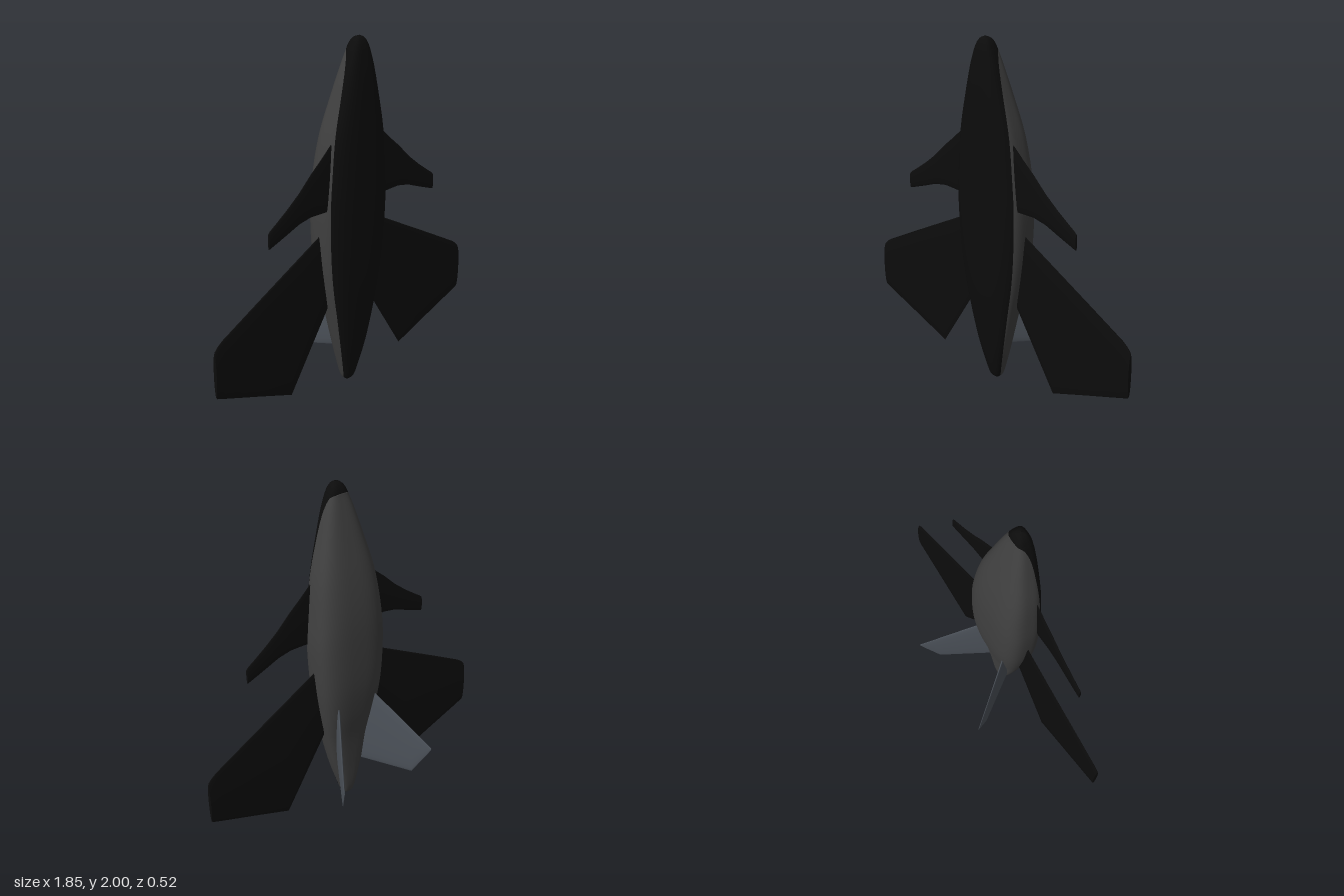
import * as THREE from 'three';

const mat = (color) => new THREE.MeshStandardMaterial({ color, side: THREE.DoubleSide });
const black = mat(0x0c0c0c), hullGrey = mat(0x404040), finGrey = mat(0x4e545c);

// Skin a list of rings, each with the same number of points
function loft(rings) {
  const m = rings[0].length, index = [];
  for (let i = 0; i < rings.length - 1; i++)
    for (let j = 0; j < m - 1; j++) {
      const a = i * m + j, b = a + 1, c = a + m, d = c + 1;
      index.push(a, c, b, b, c, d);
    }
  const g = new THREE.BufferGeometry().setFromPoints(rings.flat());
  g.setIndex(index);
  g.computeVertexNormals();
  return g;
}

function part(name, geometry, material) {
  const mesh = new THREE.Mesh(geometry, material);
  mesh.name = name;
  return mesh;
}

// Hull stations: y, half width, belly z, spine z, colour seam z
const HULL = [
  [0, 0.004, 0.135, 0.127, 0.13], [0.008, 0.02, 0.15, 0.113, 0.133], [0.03, 0.036, 0.165, 0.099, 0.14],
  [0.1, 0.058, 0.182, 0.088, 0.155], [0.25, 0.1, 0.208, 0.077, 0.177], [0.45, 0.145, 0.23, 0.056, 0.192],
  [0.65, 0.184, 0.246, 0.022, 0.199], [0.85, 0.209, 0.255, 0.002, 0.205], [1.1, 0.219, 0.26, 0.001, 0.21],
  [1.3, 0.205, 0.261, 0.013, 0.211], [1.5, 0.178, 0.26, 0.043, 0.209], [1.7, 0.128, 0.256, 0.088, 0.204],
  [1.84, 0.09, 0.249, 0.123, 0.194], [1.92, 0.064, 0.241, 0.144, 0.174], [1.945, 0.054, 0.237, 0.15, 0.15],
  [1.97, 0.042, 0.23, 0.159, 0.14], [1.99, 0.025, 0.219, 0.174, 0.14], [2, 0.004, 0.203, 0.196, 0.14],
];
const curve = (cols) => new THREE.CatmullRomCurve3(
  HULL.map((s) => new THREE.Vector3(...cols.map((c) => s[c]))), false, 'catmullrom', 0.5);

// Rounded-box sections, split at the seam into belly and back
function hull(isBelly) {
  const outline = curve([0, 1, 4]), depth = curve([0, 2, 3]);
  const N = 102, M = 48, POWER = 3, rings = [];
  const soft = (v) => Math.sign(v) * Math.abs(v) ** (2 / POWER);
  for (let i = 0; i <= N; i++) {
    const { x: y, y: w, z: seam } = outline.getPoint(i / N);
    const { y: zf, z: zb } = depth.getPoint(i / N);
    const zc = (zf + zb) / 2, h = (zf - zb) / 2;
    const s = THREE.MathUtils.clamp((seam - zc) / h, -1, 1);
    const t0 = Math.asin(Math.sign(s) * Math.abs(s) ** (POWER / 2));
    const from = isBelly ? t0 : Math.PI - t0;
    const to = isBelly ? Math.PI - t0 : 2 * Math.PI + t0;
    rings.push(Array.from({ length: M + 1 }, (_, j) => {
      const t = from + (to - from) * j / M;
      return new THREE.Vector3(w * soft(Math.cos(t)), y, zc + h * soft(Math.sin(t)));
    }));
  }
  return loft(rings);
}

// Lens-section surface; stations: span, leading y, trailing y, half thickness
function surface(stations, origin, dir) {
  const up = new THREE.Vector3(0, 1, 0), n = dir.clone().cross(up), M = 24;
  const tip = stations.at(-1);
  const all = [...stations, tip, [tip[0], tip[1], tip[2], 0]];
  return loft(all.map(([s, le, te, h]) => Array.from({ length: M + 1 }, (_, j) => {
    const t = 2 * Math.PI * j / M;
    return origin.clone().addScaledVector(dir, s)
      .addScaledVector(up, (le + te) / 2 - Math.cos(t) * (le - te) / 2)
      .addScaledVector(n, h * Math.sin(t));
  })));
}

function flyingSurfaces() {
  const g = new THREE.Group(), out = new THREE.Vector3(1, 0, 0);
  // Main wing
  g.add(part('wing', surface([
    [0.05, 1.04, 0.67, 0.012], [0.22, 0.945, 0.395, 0.012], [0.42, 0.835, 0.07, 0.012],
    [0.65, 0.708, 0.16, 0.012], [0.87, 0.585, 0.244, 0.012], [0.9, 0.562, 0.256, 0.012],
    [0.918, 0.542, 0.263, 0.012], [0.924, 0.525, 0.272, 0.012],
  ], new THREE.Vector3(0, 0, 0.133), out), black));
  // Small swept foreplane
  g.add(part('foreplane', surface([
    [0.1, 1.53, 1.1, 0.009], [0.19, 1.46, 1.105, 0.009], [0.25, 1.403, 1.108, 0.009],
    [0.32, 1.342, 1.11, 0.009], [0.4, 1.262, 1.094, 0.009], [0.48, 1.196, 1.062, 0.009],
    [0.55, 1.145, 1.035, 0.008], [0.59, 1.117, 1.02, 0.008], [0.602, 1.105, 1.016, 0.007],
  ], new THREE.Vector3(0, 0, 0.19), out), black));
  // Canted tail fin
  g.add(part('tailFin', surface([
    [0, 0.81, 0.24, 0.014], [0.107, 0.71, 0.232, 0.012], [0.316, 0.516, 0.215, 0.007],
    [0.405, 0.433, 0.355, 0.004], [0.43, 0.41, 0.4, 0.002],
  ], new THREE.Vector3(0.08, 0, 0.1), new THREE.Vector3(0.544, 0, -0.839)), finGrey));
  return g;
}

export function createModel() {
  const model = new THREE.Group();
  model.name = 'aircraft';
  model.add(part('hullBelly', hull(true), black), part('hullBack', hull(false), hullGrey));
  for (const side of [1, -1]) {
    const g = flyingSurfaces();
    g.name = side > 0 ? 'leftSurfaces' : 'rightSurfaces';
    g.scale.x = side;
    model.add(g);
  }
  return model;
}
